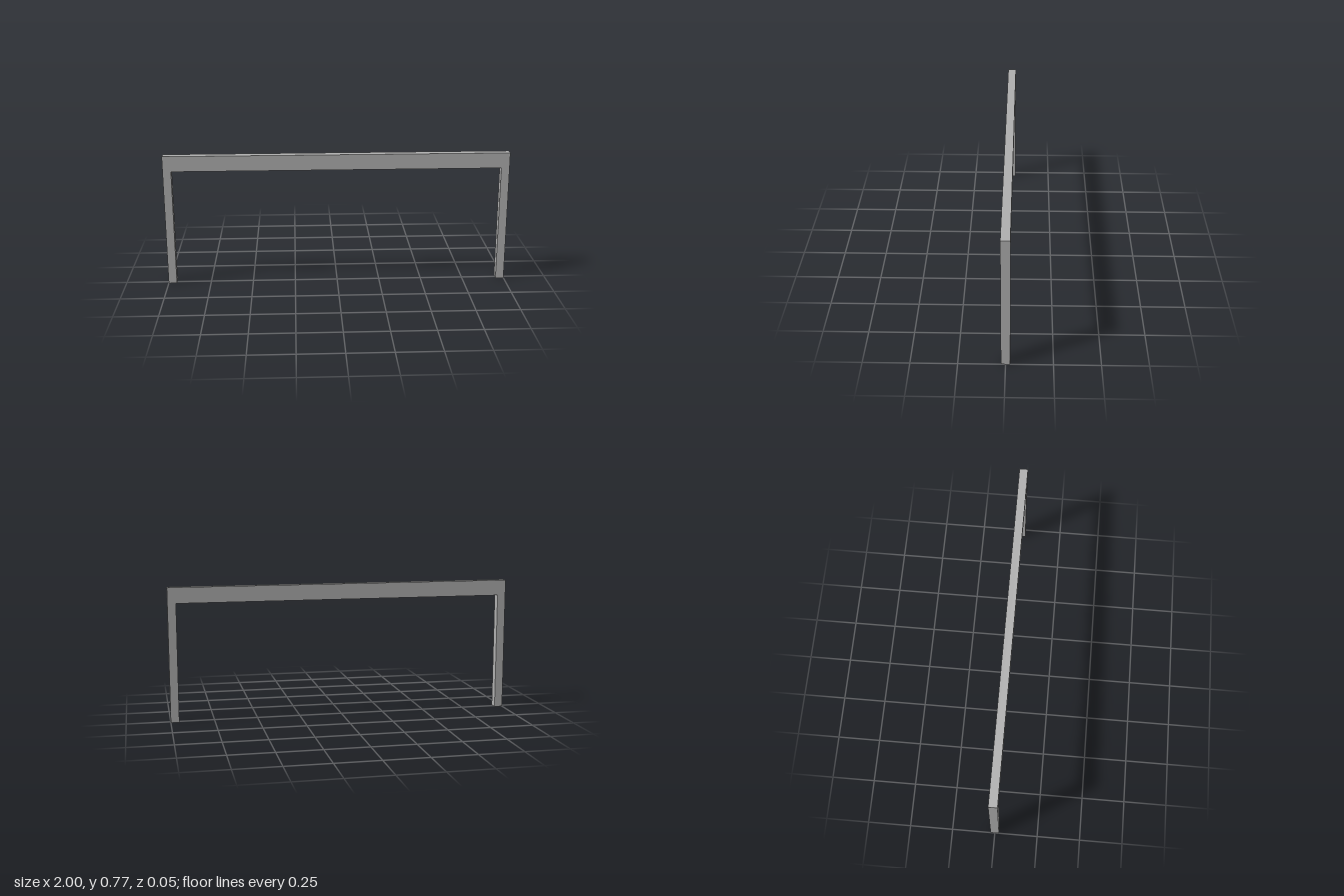
import * as THREE from 'three';

const HALF = 1, HEIGHT = 0.775, UNDERSIDE = 0.685, LEG = 0.048, DEPTH = 0.049;

export function createModel() {
  const model = new THREE.Group();
  model.name = 'goalFrame';
  const grey = new THREE.MeshStandardMaterial({ color: 0xb0b0b0 });
  grey.name = 'grey';

  // One continuous outline: two legs joined by a deeper crossbar
  const inner = HALF - LEG;
  const outline = new THREE.Shape([
    [-HALF, 0], [-inner, 0], [-inner, UNDERSIDE], [inner, UNDERSIDE],
    [inner, 0], [HALF, 0], [HALF, HEIGHT], [-HALF, HEIGHT],
  ].map(([x, y]) => new THREE.Vector2(x, y)));

  const geometry = new THREE.ExtrudeGeometry(outline, { depth: DEPTH, bevelEnabled: false });
  geometry.translate(0, 0, -DEPTH / 2);

  const frame = new THREE.Mesh(geometry, grey);
  frame.name = 'legsAndCrossbar';
  model.add(frame);
  return model;
}
